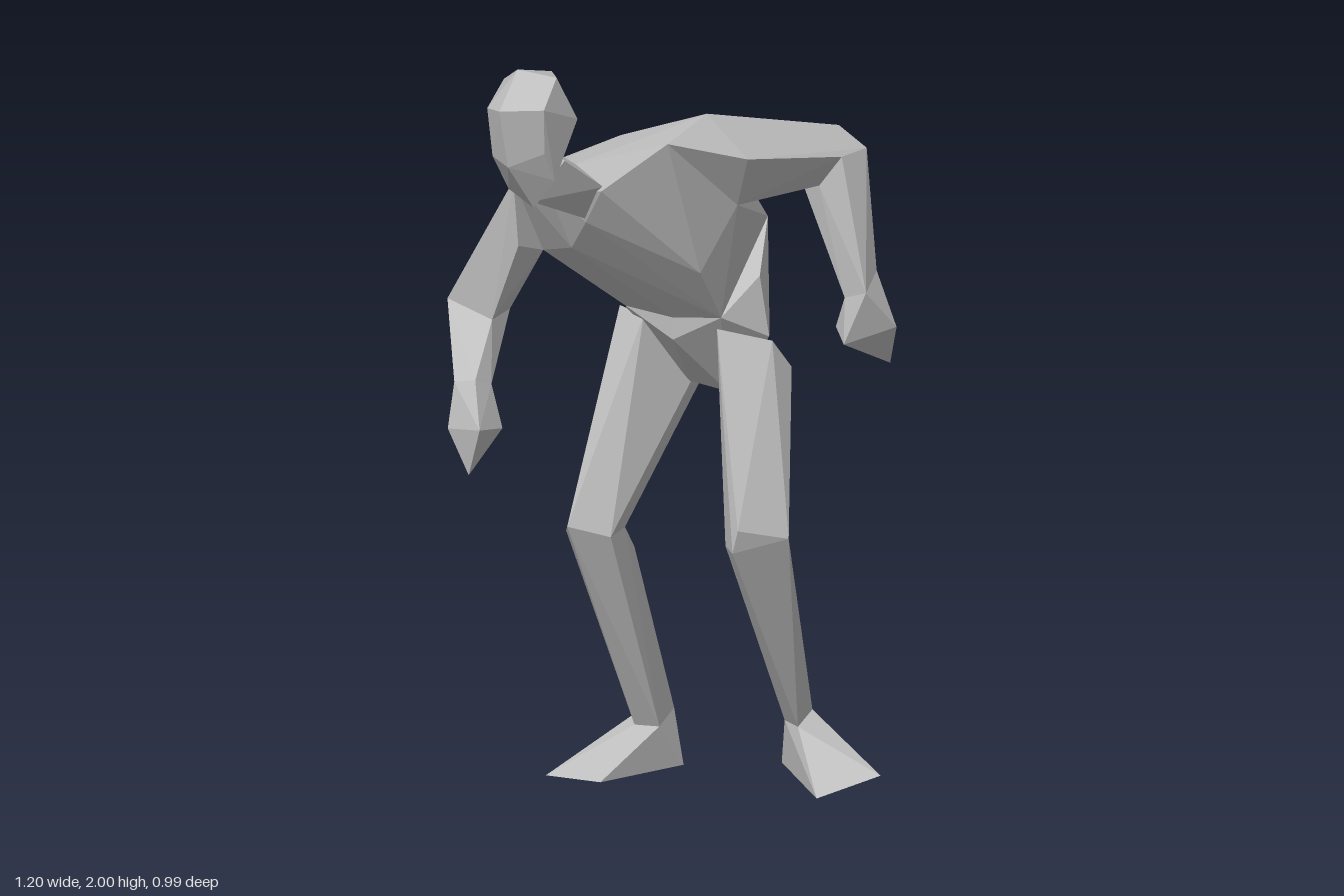
import * as THREE from 'three';
import { ConvexGeometry } from 'three/addons/geometries/ConvexGeometry.js';

const corner = (attribute, i) => new THREE.Vector3().fromBufferAttribute(attribute, i);

// Splits a hull into triangles with their planes.
function hullFaces(points) {
  const position = new ConvexGeometry(points.map((p) => new THREE.Vector3(...p))).getAttribute('position');
  const faces = [];
  for (let i = 0; i < position.count; i += 3) {
    const corners = [0, 1, 2].map((k) => corner(position, i + k));
    faces.push({ corners, plane: new THREE.Plane().setFromCoplanarPoints(...corners) });
  }
  return faces;
}

const inside = (point, faces) => faces.every((f) => f.plane.distanceToPoint(point) < 0.002);

// A face is buried when it and a point just above it lie within another part.
function buried(face, faces) {
  const [a, b, c] = face.corners;
  const above = a.clone().add(b).add(c).divideScalar(3).addScaledVector(face.plane.normal, 0.004);
  return [...face.corners, above].every((p) => inside(p, faces));
}

export function createModel() {
  const model = new THREE.Group();
  model.name = 'stoopingFigure';
  const clay = new THREE.MeshStandardMaterial({ color: 0xbcbcbc, flatShading: true });
  clay.name = 'greyClay';

  // Each faceted body part is the hull of its end rings, given as corner points.
  const parts = [];
  const part = (name, ...rings) => parts.push({ name, faces: hullFaces(rings.flat()) });

  // Head and neck
  part('head',
    [[-0.155, 2, 0.39], [-0.24, 1.95, 0.33], [-0.065, 1.98, 0.34], [-0.15, 1.965, 0.24]],
    [[-0.14, 1.91, 0.495], [-0.21, 1.9, 0.45], [-0.05, 1.91, 0.42], [-0.15, 1.88, 0.23], [-0.04, 1.86, 0.28], [-0.24, 1.83, 0.31]],
    [[-0.13, 1.755, 0.47], [-0.2, 1.77, 0.44], [-0.055, 1.79, 0.41], [-0.15, 1.78, 0.26]],
    [[-0.19, 1.67, 0.38], [-0.11, 1.63, 0.38], [-0.05, 1.71, 0.37], [-0.12, 1.69, 0.31]]);
  part('neck',
    [[-0.19, 1.73, 0.31], [-0.15, 1.77, 0.27], [-0.06, 1.75, 0.31], [-0.13, 1.64, 0.36]],
    [[-0.2, 1.65, 0.19], [-0.13, 1.7, 0.16], [-0.02, 1.66, 0.19], [-0.09, 1.56, 0.17]]);

  // Torso
  const leftArmpit = [0.22, 1.59, -0.08];
  const frontWaist = [[-0.15, 1.26, -0.1], [0, 1.25, -0.1], [0.14, 1.265, -0.12]];
  const backWaist = [[-0.17, 1.44, -0.355], [-0.03, 1.46, -0.385], [0.105, 1.48, -0.385]];
  part('chest',
    [[-0.415, 1.6, -0.03], [-0.345, 1.62, 0.135], [-0.33, 1.41, 0.02], [-0.17, 1.46, 0.12]],
    [[-0.2, 1.63, 0.19], [-0.13, 1.735, -0.05], [-0.13, 1.7, 0.16], [-0.02, 1.65, 0.2], [-0.09, 1.55, 0.17]],
    [[0.15, 1.79, 0.14], [0.15, 1.835, -0.04], [0.15, 1.41, -0.01], leftArmpit],
    frontWaist, backWaist);
  part('pelvis', frontWaist, backWaist,
    [[0.18, 1.36, -0.24], [-0.19, 1.22, -0.17], [0.21, 1.2, -0.24], [0.1, 1.17, -0.4], [-0.03, 1.17, -0.43], [-0.13, 1.17, -0.38]],
    [[0, 1.19, -0.1], [-0.03, 1.05, -0.22], [0.07, 1.03, -0.25], [0, 1.07, -0.36]]);

  // Right arm, reaching forward
  const rightElbow = [[-0.6, 1.27, -0.015], [-0.58, 1.26, 0.1], [-0.6, 1.17, 0.02], [-0.42, 1.23, 0.125], [-0.45, 1.23, 0]];
  const rightWrist = [[-0.44, 1.09, 0.27], [-0.38, 1.1, 0.26], [-0.37, 1.08, 0.2], [-0.44, 1.07, 0.2]];
  part('rightUpperArm',
    [[-0.415, 1.6, -0.03], [-0.345, 1.62, 0.135], [-0.33, 1.41, 0.02], [-0.34, 1.44, 0.12]], rightElbow);
  part('rightForearm', rightElbow, rightWrist);
  part('rightHand', rightWrist,
    [[-0.44, 0.97, 0.3], [-0.335, 0.98, 0.305], [-0.335, 0.965, 0.2], [-0.43, 0.96, 0.21], [-0.38, 0.85, 0.29]]);

  // Left arm, swung back
  const leftElbow = [[0.25, 1.67, -0.42], [0.335, 1.655, -0.49], [0.375, 1.69, -0.45], [0.365, 1.685, -0.35], [0.3, 1.6, -0.34], [0.23, 1.6, -0.36]];
  const leftWrist = [[0.395, 1.315, -0.32], [0.47, 1.34, -0.31], [0.445, 1.38, -0.395], [0.39, 1.36, -0.38]];
  part('leftUpperArm',
    [[0.15, 1.835, -0.04], [0.15, 1.79, 0.14], [0.14, 1.6, -0.14], [0.28, 1.73, -0.04], leftArmpit],
    [[0.3, 1.745, -0.43]], leftElbow);
  part('leftForearm', leftElbow, leftWrist);
  part('leftHand', leftWrist,
    [[0.36, 1.23, -0.33], [0.42, 1.2, -0.28], [0.505, 1.235, -0.4], [0.43, 1.245, -0.465], [0.45, 1.12, -0.45]]);

  // Right leg
  const rightKnee = [[-0.25, 0.665, 0.03], [-0.17, 0.71, 0.14], [-0.08, 0.68, 0.07], [-0.09, 0.69, -0.01], [-0.22, 0.68, -0.02]];
  const rightAnkle = [[-0.19, 0.12, -0.2], [-0.15, 0.12, -0.14], [-0.085, 0.12, -0.16], [-0.1, 0.15, -0.25], [-0.18, 0.15, -0.25]];
  part('rightThigh',
    [[-0.19, 1.25, -0.13], [-0.1, 1.24, -0.11], [-0.03, 1.06, -0.24], [-0.05, 1.08, -0.35], [-0.15, 1.12, -0.37], [-0.22, 1.15, -0.25]],
    [[-0.25, 0.92, -0.12], [-0.1, 0.95, -0.26], [-0.18, 0.95, -0.27]], rightKnee);
  part('rightShin', rightKnee, [[-0.15, 0.6, -0.14]], rightAnkle);
  part('rightFoot', rightAnkle,
    [[-0.28, 0.01, 0.08], [-0.12, 0.01, 0.06], [-0.07, 0, -0.25], [-0.17, 0, -0.265]]);

  // Left leg
  const leftKnee = [[0.265, 0.7, 0.04], [0.36, 0.77, 0.12], [0.35, 0.71, 0.13], [0.425, 0.73, -0.02], [0.3, 0.71, -0.02]];
  const leftAnkle = [[0.28, 0.18, -0.21], [0.35, 0.18, -0.17], [0.32, 0.2, -0.28], [0.28, 0.18, -0.27]];
  part('leftThigh',
    [[0.12, 1.23, -0.13], [0.22, 1.19, -0.24], [0.24, 1.11, -0.3], [0.12, 1.11, -0.39], [0.05, 1.04, -0.24]],
    [[0.16, 0.98, -0.29], [0.24, 1, -0.27]], leftKnee);
  part('leftShin', leftKnee, [[0.3, 0.6, -0.16]], leftAnkle);
  part('leftFoot', leftAnkle,
    [[0.5, 0.035, -0.04], [0.6, 0.08, -0.19], [0.29, 0.08, -0.33], [0.25, 0.055, -0.24]]);

  // Keep only the outer skin, so joints have no hidden caps
  for (const { name, faces } of parts) {
    const skin = faces.filter((f) => !parts.some((other) => other.faces !== faces && buried(f, other.faces)));
    const geometry = new THREE.BufferGeometry().setFromPoints(skin.flatMap((f) => f.corners));
    geometry.computeVertexNormals();
    const mesh = new THREE.Mesh(geometry, clay);
    mesh.name = name;
    model.add(mesh);
  }
  return model;
}
